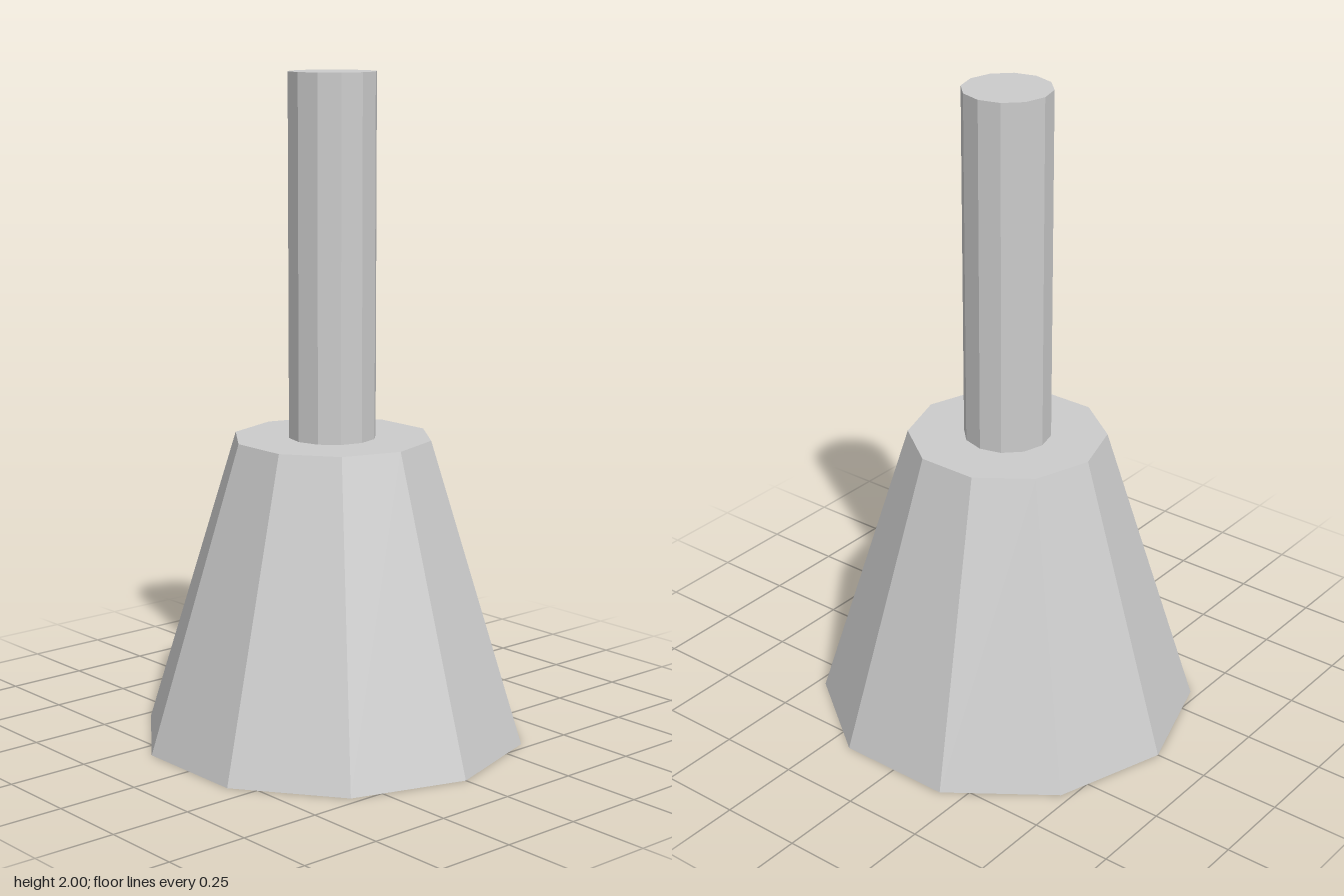
import * as THREE from 'three';

export function createModel() {
  const group = new THREE.Group();
  const grey = new THREE.MeshStandardMaterial({ color: 0xcccccc, flatShading: true });
  grey.name = 'light grey';

  // Upright faceted part standing between two heights
  function addFrustum(name, topRadius, bottomRadius, y0, y1, sides) {
    const geometry = new THREE.CylinderGeometry(topRadius, bottomRadius, y1 - y0, sides);
    const mesh = new THREE.Mesh(geometry, grey);
    mesh.name = name;
    mesh.position.y = (y0 + y1) / 2;
    group.add(mesh);
  }

  // Ten-sided tapered base
  addFrustum('base', 0.3, 0.583, 0, 0.92, 10);
  // Twelve-sided shaft on top of the base
  addFrustum('shaft', 0.132, 0.132, 0.92, 2, 12);

  return group;
}
